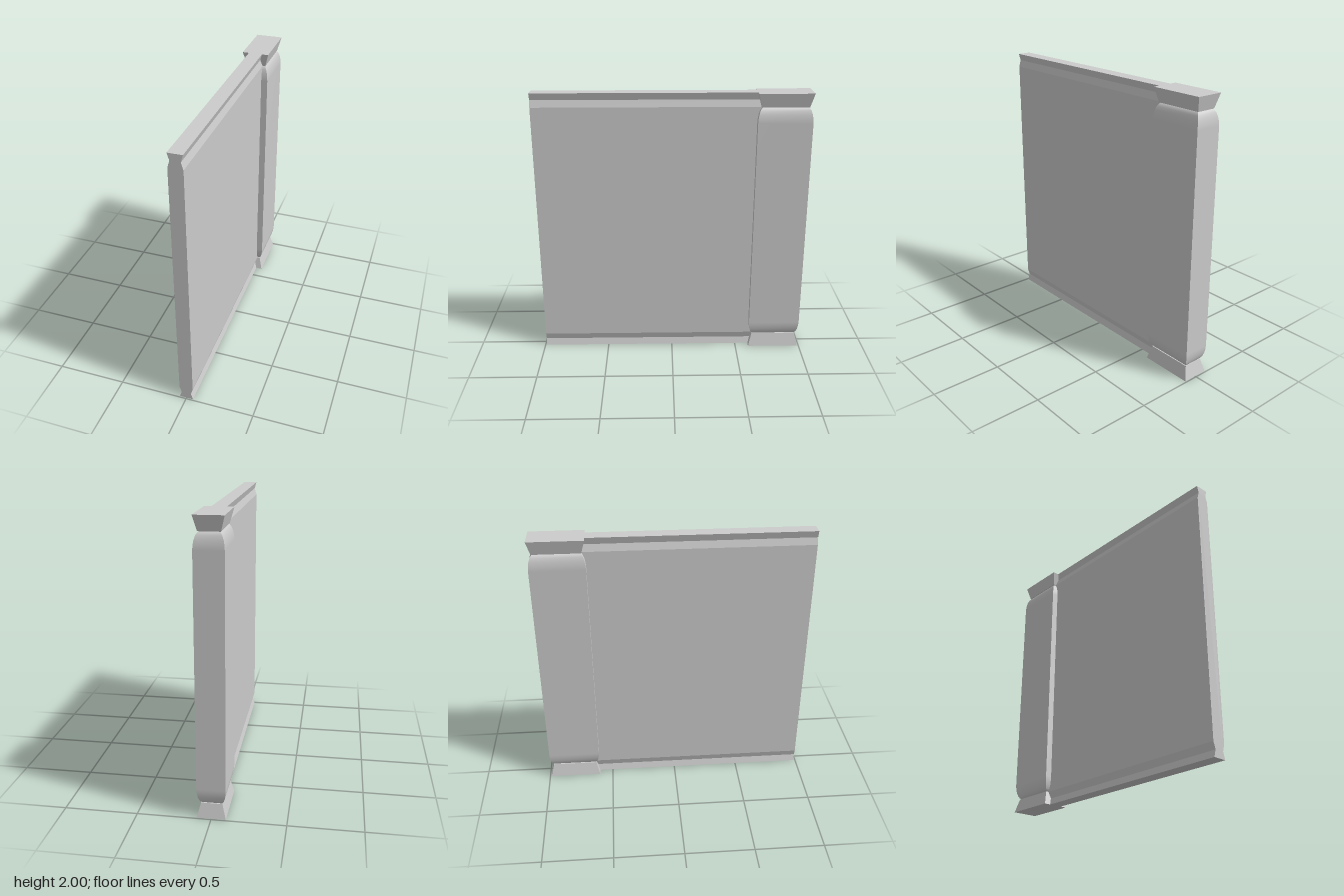
import * as THREE from 'three';

const material = new THREE.MeshStandardMaterial({ color: 0xcccccc });
const HALF_X = 0.0975, BACK = -0.99, PILLAR_FRONT = -0.602, FRONT = 0.99;
const MID_Z = (BACK + PILLAR_FRONT) / 2, HALF_Z = (PILLAR_FRONT - BACK) / 2;

// Rectangular loft through [inset, y] rings: smooth up each side, sharp at the four corners
function rectLoft(name, rings) {
  const pos = [], idx = [];
  const corners = [[-1, 1], [1, 1], [1, -1], [-1, -1]];
  const point = ([inset, y], [sx, sz]) =>
    pos.push(sx * (HALF_X - inset), y, MID_Z + sz * (HALF_Z - inset));
  for (let s = 0; s < 4; s++) {
    const base = pos.length / 3;
    rings.forEach((r) => { point(r, corners[s]); point(r, corners[(s + 1) % 4]); });
    for (let i = 0; i < rings.length - 1; i++) {
      const a = base + i * 2;
      idx.push(a, a + 1, a + 3, a, a + 3, a + 2);
    }
  }
  // end faces
  const bottom = pos.length / 3;
  corners.forEach((c) => point(rings[0], c));
  idx.push(bottom, bottom + 2, bottom + 1, bottom, bottom + 3, bottom + 2);
  const top = pos.length / 3;
  corners.forEach((c) => point(rings[rings.length - 1], c));
  idx.push(top, top + 1, top + 2, top, top + 2, top + 3);

  const geo = new THREE.BufferGeometry();
  geo.setAttribute('position', new THREE.Float32BufferAttribute(pos, 3));
  geo.setIndex(idx);
  geo.computeVertexNormals();
  const mesh = new THREE.Mesh(geo, material);
  mesh.name = name;
  return mesh;
}

export function createModel() {
  const group = new THREE.Group();
  group.name = 'wallSection';

  // Wall panel: thin slab with a V groove along the top and bottom of both faces
  const side = [[0.05, 0], [0.035, 0.05], [0.05, 0.1], [0.05, 1.9], [0.035, 1.95], [0.05, 2]];
  const outline = [...side, ...side.map(([x, y]) => [-x, y]).reverse()];
  const shape = new THREE.Shape(outline.map(([x, y]) => new THREE.Vector2(x, y)));
  const start = PILLAR_FRONT - 0.08;
  const panel = new THREE.Mesh(
    new THREE.ExtrudeGeometry(shape, { depth: FRONT - start, bevelEnabled: false }), material);
  panel.position.z = start;
  panel.name = 'wallPanel';
  group.add(panel);

  // Pillar shaft with rounded shoulders at both ends
  const shoulder = [[0.035, 0.1], [0.026, 0.107], [0.016, 0.122], [0.007, 0.15], [0.002, 0.18], [0, 0.21]];
  const upper = shoulder.map(([inset, y]) => [inset, 2 - y]).reverse();
  group.add(rectLoft('pillarShaft', [...shoulder, ...upper]));

  // Flared foot and cap
  group.add(rectLoft('pillarFoot', [[0, 0], [0.026, 0.1]]));
  group.add(rectLoft('pillarCap', [[0.026, 1.9], [0, 2]]));
  return group;
}
